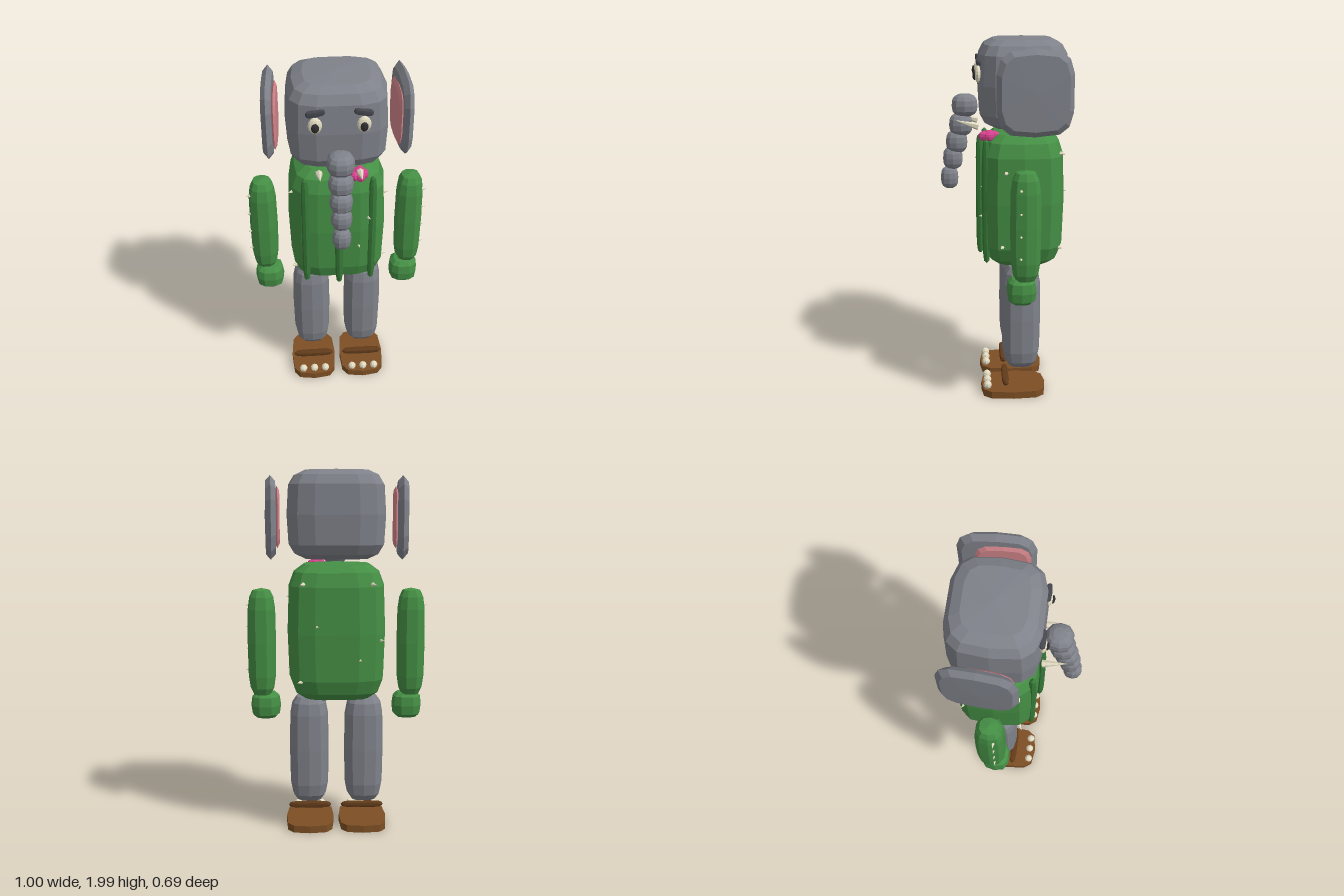
import * as THREE from 'three';

const mat = (name, color) => new THREE.MeshStandardMaterial({ name, color });

export function createModel() {
  const root = new THREE.Group();
  root.name = 'elephantInCactusSuit';

  const skin = mat('grey skin', 0x7f828a);
  const suit = mat('green suit', 0x458f45);
  const ribGreen = mat('dark green ribs', 0x377a38);
  const leather = mat('brown leather', 0x7d4f24);
  const strapBrown = mat('dark brown strap', 0x613b1a);
  const ivory = mat('ivory', 0xe3dcc2);
  const earPink = mat('inner ear pink', 0xcf8389);
  const petal = mat('magenta petal', 0xd8428f);
  const black = mat('pupil black', 0x2e2e30);
  const browGrey = mat('brow grey', 0x46484f);

  // Signed power used to square off round sections
  const sp = (v, e) => (Math.abs(v) < 1e-6 ? 0 : Math.sign(v) * Math.abs(v) ** e);

  // Faceted normals
  const facet = (geo) => {
    const g = geo.index ? geo.toNonIndexed() : geo;
    g.computeVertexNormals();
    return g;
  };

  // Squares a unit sphere or cylinder: eh across the section, ev along the height
  const squared = (geo, w, h, d, eh, ev) => {
    const p = geo.attributes.position;
    for (let i = 0; i < p.count; i++) {
      const x = p.getX(i), y = p.getY(i), z = p.getZ(i);
      const r = Math.hypot(x, z);
      const k = sp(r, ev);
      const c = r > 1e-6 ? x / r : 0, s = r > 1e-6 ? z / r : 0;
      p.setXYZ(i, sp(c, eh) * k * w, sp(y, ev) * h, sp(s, eh) * k * d);
    }
    return facet(geo);
  };
  // Soft block with half sizes w, h, d
  const blob = (w, h, d, segs = 8, rings = 8, eh = 1, ev = 1) =>
    squared(new THREE.SphereGeometry(1, segs, rings), w, h, d, eh, ev);

  const add = (name, geo, material, x, y, z, parent = root) => {
    const m = new THREE.Mesh(geo, material);
    m.name = name;
    m.position.set(x, y, z);
    parent.add(m);
    return m;
  };

  // Spike pointing along a direction
  const UP = new THREE.Vector3(0, 1, 0);
  const spike = (name, r, len, x, y, z, dir) => {
    const m = add(name, facet(new THREE.ConeGeometry(r, len, 6)), ivory, x, y, z);
    m.quaternion.setFromUnitVectors(UP, dir.clone().normalize());
    return m;
  };

  // Head and body
  add('head', blob(0.268, 0.24, 0.243, 14, 8, 0.55, 0.45), skin, 0, 1.76, -0.1);
  add('body', blob(0.268, 0.375, 0.228, 14, 8, 0.55, 0.42), suit, 0, 1.135, -0.1);

  // Suit ribs down the chest
  for (const [x, z] of [[-0.18, 0.1], [0, 0.13], [0.18, 0.1]])
    add('suitRib', blob(0.023, 0.345, 0.023, 8, 8, 1, 0.5), ribGreen, x, 1.135, z);

  // Thorns around the body: angle from the front towards +x, height
  const thorns = [
    [0.2, 1.04], [0.42, 1.22], [1.35, 1.31], [1.25, 0.9], [-1.15, 1.36], [-1.1, 0.86],
    [2.6, 1.4], [2.95, 1.18], [-2.9, 1.0], [-2.55, 1.4], [2.5, 0.88], [-2.2, 1.1],
  ];
  for (const [a, y] of thorns) {
    const dir = new THREE.Vector3(Math.sin(a), 0, Math.cos(a));
    spike('bodyThorn', 0.012, 0.032, sp(dir.x, 0.55) * 0.267, y, sp(dir.z, 0.55) * 0.228 - 0.1, dir);
  }

  // Trunk: stacked balls, height, depth, radius
  for (const [y, z, r] of [
    [1.635, 0.21, 0.073], [1.53, 0.232, 0.066], [1.435, 0.256, 0.061],
    [1.345, 0.278, 0.056], [1.235, 0.298, 0.05],
  ]) add('trunkSegment', blob(r, 0.062, r, 10, 8, 0.85, 0.8), skin, 0, y, z);

  // Flower at the collar
  const flower = new THREE.Group();
  flower.name = 'collarFlower';
  flower.position.set(0.105, 1.485, 0.08);
  root.add(flower);
  add('flowerCentre', blob(0.034, 0.032, 0.04, 8, 6), petal, 0, 0, 0, flower);
  for (let i = 0; i < 5; i++) {
    const a = (i / 5) * Math.PI * 2;
    add('petal', blob(0.024, 0.024, 0.028, 8, 6, 0.8, 0.8), petal,
      Math.cos(a) * 0.028, 0, Math.sin(a) * 0.032, flower);
  }

  for (const s of [-1, 1]) {
    const side = s > 0 ? 'left' : 'right';

    // Ears with pink lining
    const ear = add(side + 'Ear', blob(0.222, 0.03, 0.2, 14, 4, 0.55, 0.4), skin, s * 0.352, 1.743, -0.145);
    ear.rotation.set(0, s * 0.06, Math.PI / 2);
    const lining = add(side + 'EarLining', blob(0.165, 0.013, 0.14, 14, 4, 0.55, 0.4), earPink, s * 0.318, 1.745, -0.11);
    lining.rotation.set(0, s * 0.06, Math.PI / 2);

    // Eyes and brows
    add(side + 'Eye', blob(0.036, 0.045, 0.02, 10, 8), ivory, s * 0.122, 1.815, 0.138);
    add(side + 'Pupil', blob(0.02, 0.026, 0.012, 8, 6), black, s * 0.122, 1.81, 0.156);
    const brow = add(side + 'Brow', blob(0.05, 0.016, 0.015, 8, 6, 0.5, 0.5), browGrey, s * 0.12, 1.882, 0.135);
    brow.rotation.z = -s * 0.17;

    // Tusk
    spike(side + 'Tusk', 0.02, 0.13, s * 0.106, 1.553, 0.202, new THREE.Vector3(0, 0.28, 1));

    // Arm, mitten and arm thorns
    add(side + 'Arm', blob(0.078, 0.3, 0.082, 10, 8, 0.8, 0.5), suit, s * 0.41, 1.065, -0.095);
    add(side + 'Hand', blob(0.083, 0.075, 0.08, 10, 6, 0.75, 0.6), suit, s * 0.392, 0.712, -0.077);
    for (const y of [1.27, 1.15, 1.03, 0.91])
      spike('armThorn', 0.01, 0.03, s * 0.486, y, -0.068, new THREE.Vector3(s, 0, 0));

    // Leg
    add(side + 'Leg', blob(0.109, 0.306, 0.109, 12, 8, 0.75, 0.45), skin, s * 0.152, 0.47, -0.092);

    // Sandal: sole, strap and toenails
    add(side + 'Sole', squared(new THREE.CylinderGeometry(1, 1, 1, 12), 0.134, 0.04, 0.183, 0.55, 1),
      leather, s * 0.149, 0.03, -0.048);
    add(side + 'SandalStrap', blob(0.123, 0.017, 0.02, 10, 6, 0.6, 0.5), strapBrown, s * 0.15, 0.096, -0.002);
    for (const x of [0.083, 0.151, 0.219])
      add('toenail', blob(0.024, 0.024, 0.024, 8, 6), ivory, s * x, 0.068, 0.1);
  }

  // Sole cylinders span half a unit each way, so lower everything onto the ground
  const box = new THREE.Box3().setFromObject(root);
  for (const c of root.children) c.position.y -= box.min.y;
  return root;
}
